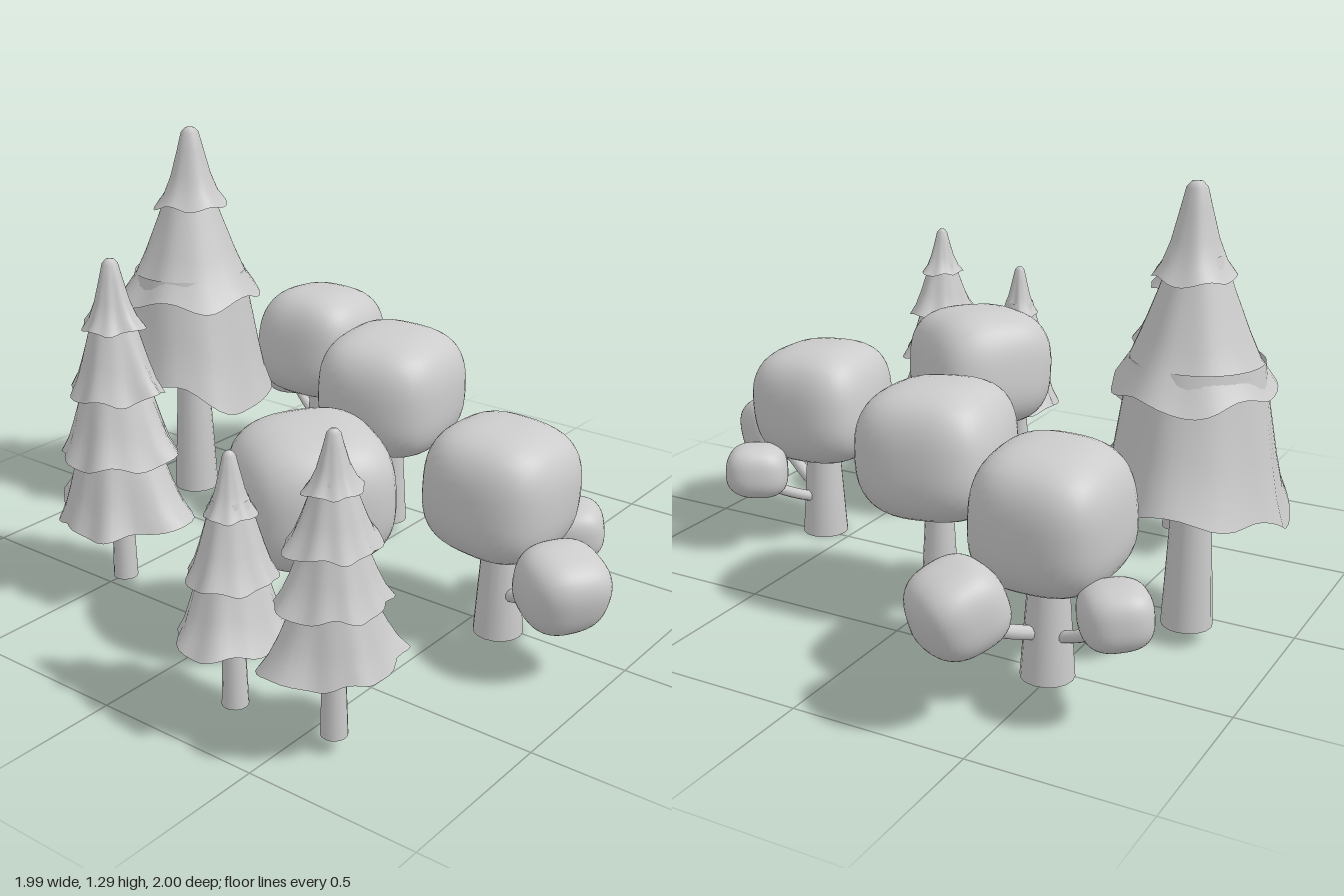
import * as THREE from 'three';
import { mergeVertices } from 'three/addons/utils/BufferGeometryUtils.js';

const material = new THREE.MeshStandardMaterial({ color: 0xcccccc });
const skirtMaterial = new THREE.MeshStandardMaterial({ color: 0xcccccc, side: THREE.DoubleSide });
const SIDES = 48;

function add(parent, name, geometry, mat = material) {
  const mesh = new THREE.Mesh(geometry, mat);
  mesh.name = name;
  parent.add(mesh);
  return mesh;
}

// Tapered trunk standing on the ground of its tree
function addTrunk(parent, rBottom, rTop, height) {
  add(parent, 'trunk', new THREE.CylinderGeometry(rTop, rBottom, height, 16).translate(0, height / 2, 0));
}

// Joins strips of closed rings; each strip keeps its own smooth normals
function loft(strips) {
  const positions = [], index = [];
  for (const rings of strips) {
    const base = positions.length / 3;
    rings.forEach(ring => ring.forEach(p => positions.push(p.x, p.y, p.z)));
    for (let j = 0; j < rings.length - 1; j++) {
      for (let i = 0; i < SIDES; i++) {
        const k = (i + 1) % SIDES;
        const a = base + j * SIDES + i, b = base + j * SIDES + k;
        index.push(a, b, a + SIDES, b, b + SIDES, a + SIDES);
      }
    }
  }
  const g = new THREE.BufferGeometry();
  g.setAttribute('position', new THREE.Float32BufferAttribute(positions, 3));
  g.setIndex(index);
  g.computeVertexNormals();
  return g;
}

// One ragged skirt of needles: flared outside, shallow hollow underside
function tierGeometry({ outline, evenness, rim, droop, wave, phase }, [rimY, topY, radius, topFraction]) {
  const mean = outline.reduce((s, r) => s + r, 0) / outline.length;
  const points = outline.map((r, i) => {
    const a = i / outline.length * Math.PI * 2;
    const q = radius * THREE.MathUtils.lerp(r / mean, 1, evenness);
    return new THREE.Vector3(Math.cos(a) * q, 0, Math.sin(a) * q);
  });
  const curve = new THREE.CatmullRomCurve3(points, true);
  const edge = Array.from({ length: SIDES }, (_, i) => {
    const p = curve.getPoint(i / SIDES);
    const a = Math.atan2(p.z, p.x);
    const ragged = 1 + rim * Math.sin(9 * a + phase);
    p.y = rimY - droop * (p.length() - radius) + wave * Math.cos(2 * (a - 1.3))
      + radius * 0.06 * Math.sin(5 * a + phase);
    p.x *= ragged;
    p.z *= ragged;
    return p;
  });
  const ring = (f, h) => edge.map(p => {
    // higher rings grow rounder and more level
    const round = radius / Math.hypot(p.x, p.z);
    const s = f * THREE.MathUtils.lerp(1, round, h);
    return new THREE.Vector3(p.x * s, THREE.MathUtils.lerp(p.y, topY, h), p.z * s);
  });
  const profile = topFraction === 0
    ? [[0, 1], [0.13, 0.99], [0.25, 0.93], [0.37, 0.71], [0.56, 0.38], [0.76, 0.15], [1, 0]]
    : [[0, 1], [0.22, 0.72], [0.5, 0.4], [0.72, 0.18], [1, 0]]
      .map(([f, h]) => [topFraction + (1 - topFraction) * f, h]);
  return loft([
    profile.map(([f, h]) => ring(f, h)),
    [[1, 0], [0.7, 0.12], [0.15, 0.22]].map(([f, h]) => ring(f, h)),
  ]);
}

function pine({ name, at, trunk, outline, tiers, wave = 0, rim = 0.04, droop = 0, lean = 0 }) {
  const tree = new THREE.Group();
  tree.name = name;
  tree.position.set(at[0], 0.045, at[1]);
  addTrunk(tree, ...trunk);
  tiers.forEach((tier, i) => {
    const lowest = i === tiers.length - 1;
    const shape = { outline, rim, droop, evenness: lowest ? 0 : 0.45, wave: lowest ? wave : 0, phase: i * 1.7 };
    const mesh = add(tree, 'needleTier' + (i + 1), tierGeometry(shape, tier), skirtMaterial);
    // tier heights are measured from the model's ground
    mesh.position.set(lowest ? 0 : lean / (i + 1), -0.045, 0);
  });
  return tree;
}

// Soft, slightly lumpy rounded cube: a box pulled onto a superellipsoid
function crownGeometry(hx, hy, hz, taper = 0, power = 2.85) {
  const box = new THREE.BoxGeometry(2, 2, 2, 12, 12, 12);
  box.deleteAttribute('normal');
  box.deleteAttribute('uv');
  const g = mergeVertices(box);
  const pos = g.attributes.position;
  const v = new THREE.Vector3();
  for (let i = 0; i < pos.count; i++) {
    v.fromBufferAttribute(pos, i);
    const n = (Math.abs(v.x) ** power + Math.abs(v.y) ** power + Math.abs(v.z) ** power) ** (1 / power);
    v.divideScalar(n);
    const s = 1 - taper * v.y + 0.025 * Math.sin(2.5 * v.x + 2 * v.z + 1.5 * v.y);
    pos.setXYZ(i, v.x * hx * s, v.y * hy, v.z * hz * s);
  }
  g.computeVertexNormals();
  return g;
}

function roundTree(name, at, turn) {
  const tree = new THREE.Group();
  tree.name = name;
  tree.position.set(at[0], 0.045, at[1]);
  tree.rotation.y = turn;
  addTrunk(tree, 0.055, 0.036, 0.36);
  const crown = add(tree, 'crown', crownGeometry(0.215, 0.195, 0.218, 0.03));
  crown.position.y = 0.46;
  crown.rotation.set(0.05, 0, -0.06);
  return tree;
}

// Tree with two side branches, each ending in a small crown
function branchedTree(name, at, turn) {
  const tree = new THREE.Group();
  tree.name = name;
  tree.position.set(...at);
  tree.rotation.y = turn;
  addTrunk(tree, 0.073, 0.048, 0.36);
  const crown = add(tree, 'crown', crownGeometry(0.203, 0.19, 0.199, 0.02));
  crown.position.set(-0.012, 0.45, -0.003);
  crown.rotation.z = -0.07;
  const sides = [
    { ball: [0.265, 0.275, 0.12], size: [0.118, 0.114, 0.122], rot: [0, -0.5, -0.3], root: 0.13, r: 0.02 },
    { ball: [0.093, 0.265, -0.23], size: [0.097, 0.084, 0.094], rot: [0.1, 0.6, 0], root: 0.12, r: 0.017 },
  ];
  for (const { ball, size, rot, root, r } of sides) {
    const [x, y, z] = ball;
    const path = new THREE.QuadraticBezierCurve3(
      new THREE.Vector3(x * 0.1, root, z * 0.1),
      new THREE.Vector3(x * 0.5, root + 0.03, z * 0.5),
      new THREE.Vector3(x * 0.9, y - 0.05, z * 0.9));
    add(tree, 'branch', new THREE.TubeGeometry(path, 10, r, 10));
    const small = add(tree, 'sideCrown', crownGeometry(...size, 0, 2.7));
    small.position.set(x, y, z);
    small.rotation.set(...rot);
  }
  return tree;
}

export function createModel() {
  const model = new THREE.Group();
  model.name = 'grove';
  // Outlines list the lowest skirt's reach every 30 degrees, from +x towards +z
  // Tiers give rim height, top height, rim radius and top-to-rim radius ratio
  model.add(
    pine({
      name: 'largePine', at: [-0.73, -0.14], trunk: [0.073, 0.045, 0.55],
      wave: 0.055, rim: 0.015, droop: 0.5, lean: 0.02,
      outline: [0.25, 0.28, 0.25, 0.25, 0.32, 0.27, 0.26, 0.26, 0.3, 0.3, 0.27, 0.26],
      tiers: [[1.04, 1.29, 0.115, 0], [0.74, 1.1, 0.225, 0.3], [0.42, 0.82, 0.272, 0.66]],
    }),
    pine({
      name: 'mediumPine', at: [-0.435, 0.495], trunk: [0.037, 0.026, 0.4], droop: -0.5,
      outline: [0.25, 0.18, 0.2, 0.18, 0.18, 0.19, 0.23, 0.24, 0.19, 0.18, 0.17, 0.21],
      tiers: [[0.84, 1.04, 0.092, 0], [0.645, 0.88, 0.138, 0.42], [0.455, 0.7, 0.175, 0.5],
        [0.255, 0.51, 0.2, 0.55]],
    }),
    pine({
      name: 'smallPine', at: [0.31, 0.835], trunk: [0.036, 0.025, 0.3],
      outline: [0.15, 0.15, 0.17, 0.17, 0.15, 0.14, 0.14, 0.16, 0.16, 0.12, 0.14, 0.15],
      tiers: [[0.59, 0.755, 0.068, 0], [0.42, 0.63, 0.118, 0.4], [0.26, 0.47, 0.15, 0.5]],
    }),
    pine({
      name: 'slimPine', at: [0.6, 0.79], trunk: [0.036, 0.025, 0.35],
      outline: [0.14, 0.14, 0.13, 0.16, 0.2, 0.17, 0.13, 0.13, 0.14, 0.19, 0.2, 0.15],
      tiers: [[0.715, 0.87, 0.07, 0], [0.57, 0.75, 0.112, 0.4], [0.42, 0.61, 0.135, 0.5],
        [0.25, 0.46, 0.157, 0.55]],
    }),
    roundTree('frontRoundTree', [0.255, 0.445], -0.6),
    roundTree('backRoundTree', [-0.04, -0.325], 0.12),
    branchedTree('sideBranchedTree', [0.6, 0, 0.02], 0),
    branchedTree('backBranchedTree', [-0.525, 0.045, -0.6], Math.PI / 2),
  );
  return model;
}
